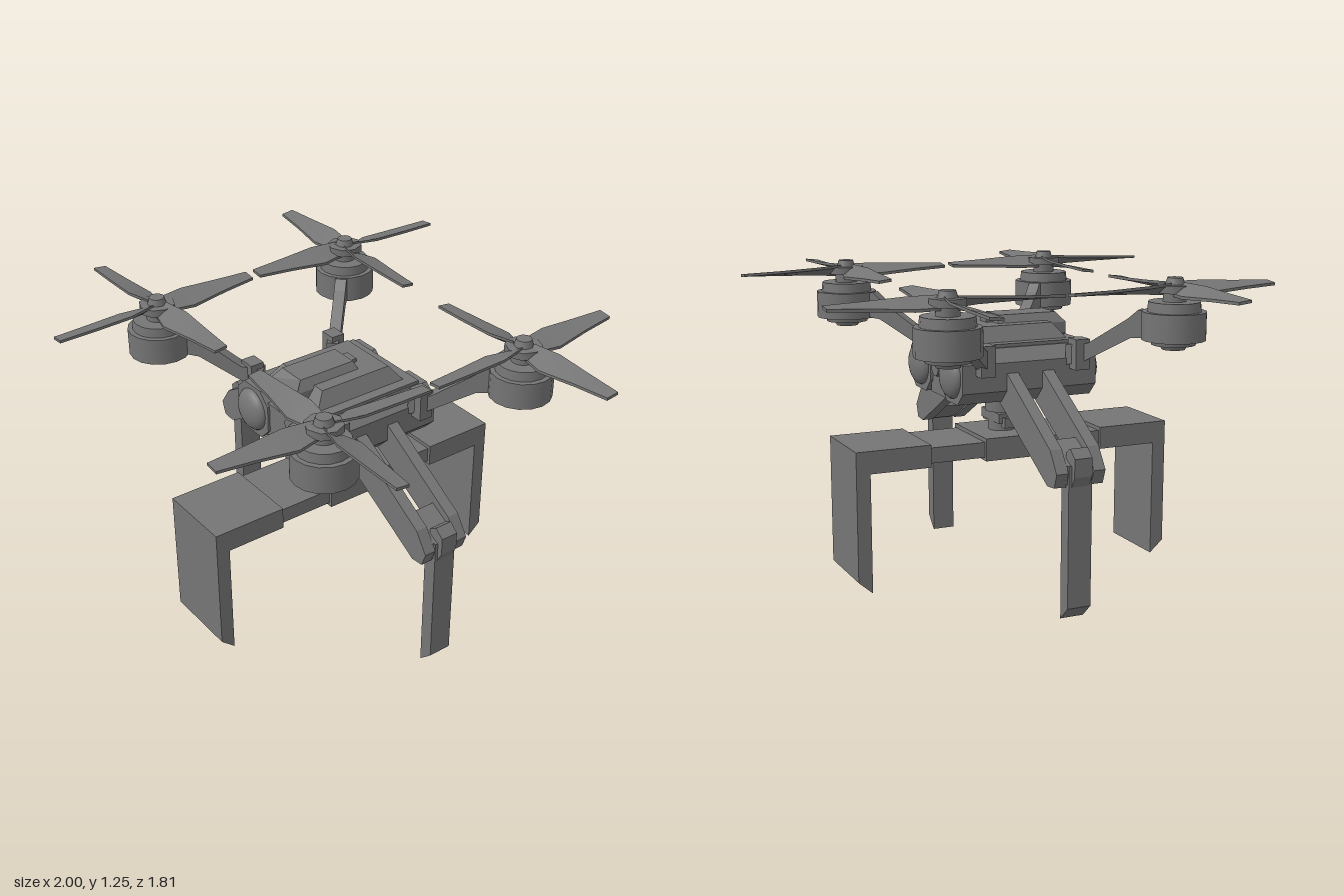
import * as THREE from 'three';

const gray = new THREE.MeshStandardMaterial({ color: 0x757575 });
gray.name = 'matte gray';

function add(parent, name, geometry, x = 0, y = 0, z = 0) {
  const mesh = new THREE.Mesh(geometry, gray);
  mesh.name = name;
  mesh.position.set(x, y, z);
  parent.add(mesh);
  return mesh;
}

// Box given by its lower and upper limits
function block(parent, name, x0, x1, y0, y1, z0, z1) {
  return add(parent, name, new THREE.BoxGeometry(x1 - x0, y1 - y0, z1 - z0),
    (x0 + x1) / 2, (y0 + y1) / 2, (z0 + z1) / 2);
}

// Flat outline in x and y, extruded along z between z0 and z1
function prism(points, z0, z1) {
  const shape = new THREE.Shape(points.map(([x, y]) => new THREE.Vector2(x, y)));
  const g = new THREE.ExtrudeGeometry(shape, { depth: z1 - z0, bevelEnabled: false });
  return g.translate(0, 0, z0);
}

function disc(parent, name, rTop, rBottom, y0, y1, sides = 16) {
  return add(parent, name, new THREE.CylinderGeometry(rTop, rBottom, y1 - y0, sides), 0, (y0 + y1) / 2, 0);
}

// Tapered, twisted blade along +z; hand sets the sweep and pitch direction
function bladeGeometry(hand) {
  // distance from hub, sweep, width, tilt
  const stations = [[0.03, 0, 0.05, 0.02], [0.14, -0.003, 0.105, 0.016], [0.3, 0.007, 0.075, 0.008], [0.444, 0.013, 0.053, 0.003]];
  const g = new THREE.BoxGeometry(1, 1, 1, 1, 1, 3);
  const p = g.attributes.position;
  for (let i = 0; i < p.count; i++) {
    const [r, sweep, width, tilt] = stations[Math.round((p.getZ(i) + 0.5) * 3)];
    const u = p.getX(i) * 2;
    p.setXYZ(i, hand * sweep + u * width / 2, p.getY(i) * 0.011 + hand * u * tilt, r);
  }
  g.computeVertexNormals();
  return g;
}

function buildRotor(sx, sz) {
  const rotor = new THREE.Group();
  rotor.name = 'rotor';
  rotor.position.set(sx * 0.556, 0, sz * 0.462);
  disc(rotor, 'motorFoot', 0.055, 0.045, 0.975, 0.995);
  disc(rotor, 'motorBase', 0.09, 0.085, 0.993, 1.015);
  disc(rotor, 'motorBody', 0.124, 0.124, 1.012, 1.12);
  disc(rotor, 'motorTop', 0.1, 0.104, 1.12, 1.158);
  disc(rotor, 'motorShaft', 0.045, 0.045, 1.155, 1.19);
  disc(rotor, 'rotorHub', 0.072, 0.072, 1.192, 1.222, 8);
  disc(rotor, 'hubCap', 0.03, 0.038, 1.22, 1.248);
  const geometry = bladeGeometry(-sx * sz);
  for (let i = 0; i < 4; i++) add(rotor, 'blade', geometry, 0, 1.205, 0).rotation.y = i * Math.PI / 2;
  return rotor;
}

function buildArm(sx, sz) {
  const arm = new THREE.Group();
  arm.name = 'rotorArm';
  block(arm, 'armBracket', sx * 0.285 - 0.035, sx * 0.285 + 0.035, 0.875, 0.995, sz * 0.2 - 0.03, sz * 0.2 + 0.03);
  const outline = [[-0.03, 0.89], [0.04, 0.905], [0.23, 1.01], [0.33, 1.02], [0.33, 1.11],
    [0.26, 1.12], [0.22, 1.085], [0.06, 0.98], [-0.03, 0.97]];
  const strut = add(arm, 'strut', prism(outline, -0.024, 0.024), sx * 0.27, 0, sz * 0.19);
  strut.rotation.y = Math.atan2(-sz * 0.272, sx * 0.286);
  return arm;
}

// Side arm and leg pointing to +x
function buildSideLeg() {
  const leg = new THREE.Group();
  leg.name = 'sideLeg';
  const plate = [[0.13, 0.79], [0.62, 0.515], [0.675, 0.52], [0.695, 0.575], [0.64, 0.655], [0.27, 0.875], [0.13, 0.9]];
  for (const z of [-0.1, 0.052]) add(leg, 'armPlate', prism(plate, z, z + 0.048));
  const bridge = [[0.485, 0.6], [0.62, 0.52], [0.68, 0.53], [0.68, 0.6], [0.55, 0.67]];
  add(leg, 'armBridge', prism(bridge, -0.055, 0.055));
  const knuckle = [[0.65, 0.51], [0.69, 0.52], [0.712, 0.56], [0.712, 0.63], [0.675, 0.662], [0.64, 0.64]];
  add(leg, 'knuckle', prism(knuckle, -0.036, 0.036));
  add(leg, 'shin', prism([[0.632, 0], [0.69, 0.055], [0.69, 0.6], [0.632, 0.6]], -0.048, 0.048));
  return leg;
}

// Wide clamp jaw pointing to +z
function buildJaw() {
  const jaw = new THREE.Group();
  jaw.name = 'clampJaw';
  block(jaw, 'slider', -0.145, 0.145, 0.52, 0.582, 0.12, 0.39);
  const profile = [[0.37, 0.507], [0.62, 0.507], [0.62, 0.03], [0.677, 0.08], [0.677, 0.597], [0.37, 0.597]];
  // profile lies in z and y, so turn the extrusion to face along x
  add(jaw, 'jawPlate', prism(profile, -0.158, 0.158).rotateY(-Math.PI / 2));
  return jaw;
}

function buildBody() {
  const body = new THREE.Group();
  body.name = 'body';
  block(body, 'core', -0.21, 0.21, 0.8, 0.98, -0.25, 0.25);
  block(body, 'centralHull', -0.075, 0.075, 0.76, 0.93, -0.275, 0.275);

  // Chamfered side pods with domed ends
  const a = 0.105, c = 0.055;
  const octagon = [[-a, -c], [-c, -a], [c, -a], [a, -c], [a, c], [c, a], [-c, a], [-a, c]];
  for (const s of [-1, 1]) {
    add(body, 'sidePod', prism(octagon, -0.285, 0.285), s * 0.163, 0.862, 0);
    for (const e of [-1, 1]) {
      const dome = new THREE.SphereGeometry(0.088, 20, 8, 0, Math.PI * 2, 0, Math.PI / 2);
      dome.scale(1, 0.5, 1).rotateX(e * Math.PI / 2);
      add(body, 'podDome', dome, s * 0.163, 0.862, e * 0.283);
    }
  }

  // Sloped deck
  const deck = new THREE.BoxGeometry(0.34, 0.065, 0.42).toNonIndexed();
  const p = deck.attributes.position;
  for (let i = 0; i < p.count; i++) {
    if (p.getY(i) > 0) p.setXYZ(i, p.getX(i) * 0.77, p.getY(i), p.getZ(i) * 0.76);
  }
  deck.computeVertexNormals();
  add(body, 'deck', deck, 0, 1.007, 0);

  // Raised cover with a raked nose
  const cover = prism([[-0.06, 0.955], [0.06, 0.955], [0.085, 0.985], [0.085, 1.03], [0.06, 1.07], [-0.06, 1.07],
    [-0.085, 1.03], [-0.085, 0.985]], -0.055, 0.245);
  const q = cover.attributes.position;
  for (let i = 0; i < q.count; i++) {
    if (q.getY(i) > 1.05) q.setZ(i, q.getZ(i) > 0 ? 0.21 : -0.04);
  }
  cover.computeVertexNormals();
  add(body, 'topCover', cover);
  block(body, 'coverLatch', -0.03, 0.03, 1.03, 1.055, -0.08, -0.04);

  // Rear sensor
  const sensor = new THREE.CylinderGeometry(0.035, 0.04, 0.02, 16).rotateX(-Math.PI / 2);
  add(body, 'rearSensor', sensor, 0, 0.87, -0.28);
  return body;
}

function buildMount() {
  const mount = new THREE.Group();
  mount.name = 'clampMount';
  disc(mount, 'mountColumn', 0.066, 0.066, 0.675, 0.78);
  disc(mount, 'mountNeck', 0.055, 0.055, 0.59, 0.68);
  block(mount, 'mountPlate', -0.085, 0.085, 0.635, 0.675, -0.05, 0.05);
  for (const s of [-1, 1]) block(mount, 'mountLug', s * 0.09 - 0.018, s * 0.09 + 0.018, 0.62, 0.66, -0.035, 0.035);
  block(mount, 'clampHousing', -0.158, 0.158, 0.507, 0.598, -0.138, 0.138);
  return mount;
}

export function createModel() {
  const model = new THREE.Group();
  model.name = 'cargoDrone';
  model.add(buildBody(), buildMount());
  for (const sx of [-1, 1]) {
    for (const sz of [-1, 1]) model.add(buildRotor(sx, sz), buildArm(sx, sz));
  }
  for (const turn of [0, Math.PI]) {
    const leg = buildSideLeg();
    const jaw = buildJaw();
    leg.rotation.y = jaw.rotation.y = turn;
    model.add(leg, jaw);
  }
  return model;
}
